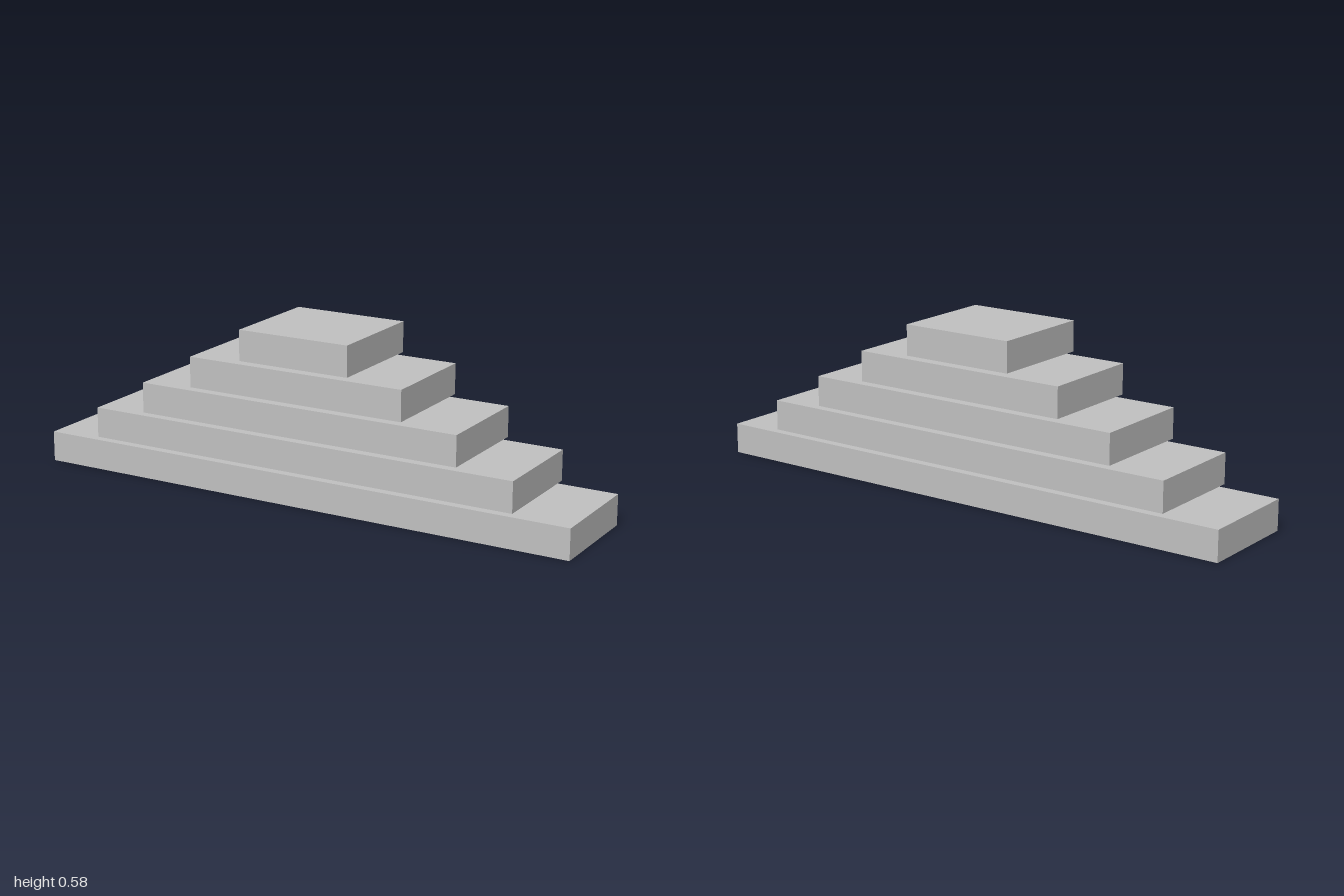
import * as THREE from 'three';

// Five separate slabs stacked as a stepped pyramid, with a thin gap between levels
export function createModel() {
  const model = new THREE.Group();
  model.name = 'steppedSlabs';
  const stone = new THREE.MeshStandardMaterial({ color: 0xc0c0c0 });
  stone.name = 'light grey';

  const levels = 5, height = 0.107, pitch = 0.1188, depth = 0.38;
  for (let i = 0; i < levels; i++) {
    const width = 2 - i * 0.397;
    const slab = new THREE.Mesh(new THREE.BoxGeometry(width, height, depth), stone);
    slab.name = `slab${i + 1}`;
    slab.position.y = i * pitch + height / 2;
    model.add(slab);
  }
  return model;
}
